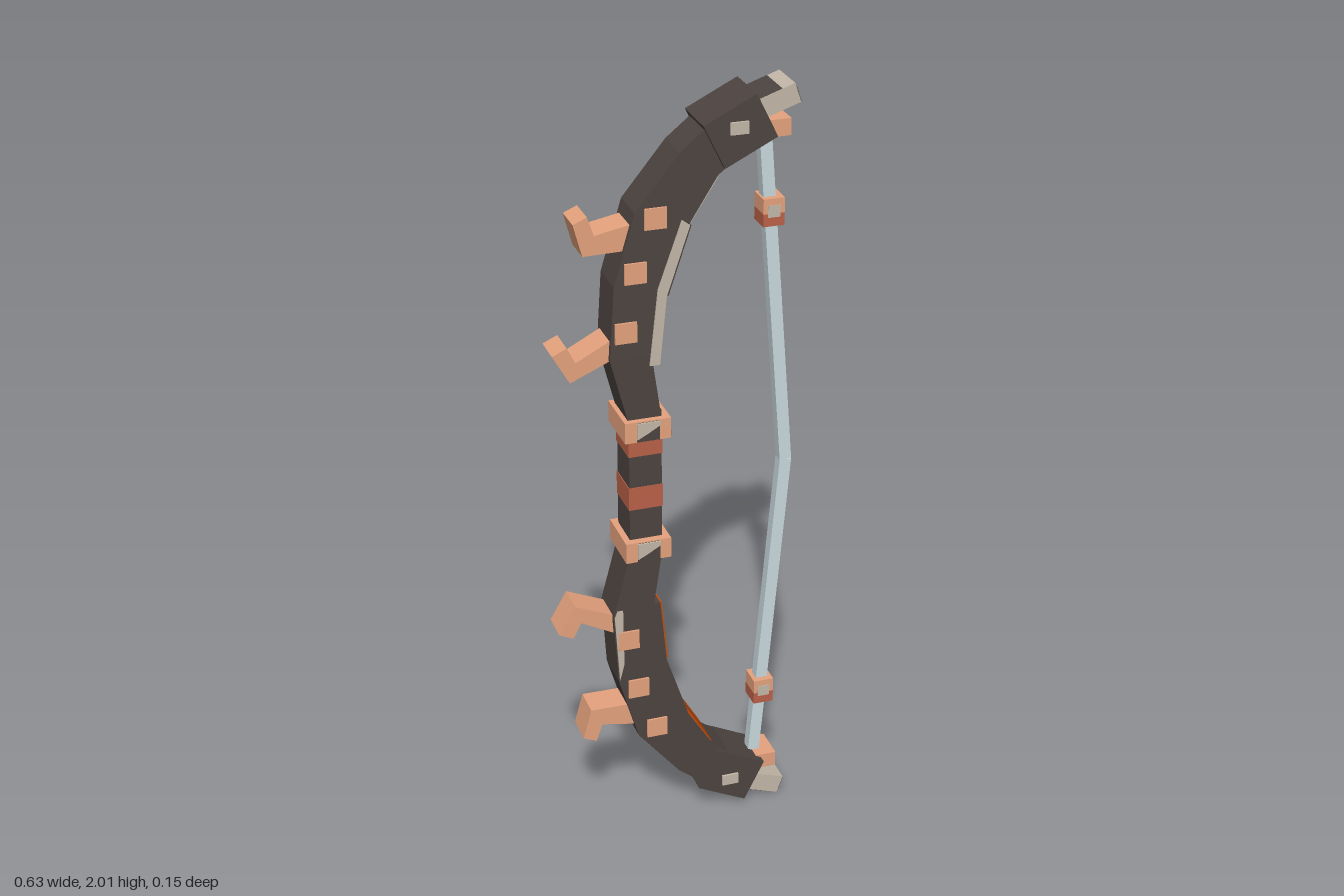
import * as THREE from 'three';

const mat = (name, color) => {
  const m = new THREE.MeshStandardMaterial({ color });
  m.name = name;
  return m;
};

export function createModel() {
  const root = new THREE.Group();
  root.name = 'bow';
  const dark = mat('darkWood', 0x4d4440);
  const copper = mat('copper', 0xe5a27d);
  const bone = mat('paleBone', 0xc3b7a7);
  const rust = mat('rust', 0xba6148);
  const orange = mat('orange', 0xc44c08);
  const cord = mat('cord', 0xc9d9de);

  const add = (parent, name, geo, material) => {
    const mesh = new THREE.Mesh(geo, material);
    mesh.name = name;
    parent.add(mesh);
    return mesh;
  };
  const box = (parent, name, material, x, y, z, w, h, d, angle = 0) => {
    const mesh = add(parent, name, new THREE.BoxGeometry(w, h, d), material);
    mesh.position.set(x, y, z);
    mesh.rotation.z = angle;
    return mesh;
  };
  // Flat-sided prism from an outline in the xy plane
  const prism = (parent, name, material, pts, z0, z1) => {
    const shape = new THREE.Shape(pts.map(([x, y]) => new THREE.Vector2(x, y)));
    const geo = new THREE.ExtrudeGeometry(shape, { depth: z1 - z0, bevelEnabled: false });
    geo.translate(0, 0, z0);
    return add(parent, name, geo, material);
  };
  // Thin plate lying along the line from a to b
  const plate = (parent, name, material, a, b, z0, z1) => {
    const dx = b[0] - a[0], dy = b[1] - a[1];
    return box(parent, name, material, (a[0] + b[0]) / 2, (a[1] + b[1]) / 2, (z0 + z1) / 2,
      Math.hypot(dx, dy), 0.008, z1 - z0, Math.atan2(dy, dx));
  };

  // Grip with wrapped stripes
  box(root, 'grip', dark, -0.086, 1, 0, 0.084, 0.42, 0.098);
  box(root, 'upperGripWrap', rust, -0.086, 1.113, 0, 0.088, 0.042, 0.102);
  box(root, 'lowerGripWrap', rust, -0.086, 0.975, 0, 0.088, 0.062, 0.102);

  for (const side of [1, -1]) {
    const limb = new THREE.Group();
    limb.name = side > 0 ? 'upperLimb' : 'lowerLimb';
    root.add(limb);
    const Y = (y) => 1 + side * (y - 1);
    const flip = (pts) => pts.map(([x, y]) => [x, Y(y)]);

    // Curved limb and its inner strip
    prism(limb, 'limbBody', dark, flip([
      [-0.128, 1.18], [-0.175, 1.36], [-0.163, 1.55], [-0.11, 1.73], [0, 1.865], [0.08, 1.93],
      [0.16, 1.85], [0.095, 1.8], [0.02, 1.68], [-0.04, 1.52], [-0.07, 1.36], [-0.044, 1.18],
    ]), -0.053, 0.053);
    const stripZ = side > 0 ? 0.057 : 0.0535;
    prism(limb, 'innerStrip', side > 0 ? bone : dark, flip([
      [-0.076, 1.335], [-0.05, 1.335], [-0.033, 1.51], [0.025, 1.685], [0.005, 1.7], [-0.055, 1.53],
    ]), -stripZ, stripZ);

    // Tip block and its studs
    box(limb, 'tipBlock', dark, 0.145, Y(1.905), 0, 0.145, 0.122, 0.134, side * 0.46);
    box(limb, 'tipBlockStud', bone, 0.14, Y(1.915), 0, 0.045, 0.03, 0.147);

    // Nock with dark cap on its outer face and end
    const nock = new THREE.Group();
    nock.name = 'nock';
    nock.position.set(0.241, Y(1.962), 0);
    nock.rotation.z = side * 0.33;
    limb.add(nock);
    box(nock, 'nockBody', bone, 0, 0, 0, 0.104, 0.05, 0.104);
    box(nock, 'nockCap', dark, -0.016, side * 0.024, 0, 0.07, 0.004, 0.102);
    box(nock, 'nockEnd', dark, 0.0515, side * -0.004, 0, 0.004, 0.038, 0.102);
    box(limb, 'cordHolder', copper, 0.25, Y(1.895), 0, 0.056, 0.042, 0.09);

    // Square studs through the limb
    for (const [x, y] of [[-0.06, 1.712], [-0.11, 1.58], [-0.135, 1.43]])
      box(limb, 'limbStud', copper, x, Y(y), 0, 0.055, 0.053, 0.117);

    // Hooked spikes
    prism(limb, 'outerSpike', copper, flip([
      [-0.11, 1.635], [-0.235, 1.633], [-0.257, 1.715], [-0.222, 1.73], [-0.206, 1.682], [-0.11, 1.7],
    ]), -0.04, 0.042);
    prism(limb, 'innerSpike', copper, flip([
      [-0.14, 1.37], [-0.272, 1.312], [-0.315, 1.388], [-0.278, 1.405], [-0.257, 1.363], [-0.14, 1.425],
    ]), -0.04, 0.042);

    // Grip band with a rust line and two-tone plates on front and back
    const bandY = Y(1.168);
    box(limb, 'gripBand', copper, -0.085, bandY, 0, 0.118, 0.055, 0.138);
    box(limb, 'bandLine', rust, -0.026, bandY - 0.014, 0, 0.003, 0.014, 0.136);
    box(limb, 'bandPlate', dark, -0.085, bandY, 0, 0.058, 0.05, 0.147);
    for (const z of [-0.0765, 0.0725])
      prism(limb, 'bandPlatePatch', bone, [
        [-0.115, bandY - 0.018], [-0.088, bandY - 0.004], [-0.055, bandY + 0.015],
        [-0.055, bandY + 0.026], [-0.115, bandY + 0.026],
      ], z, z + 0.004);

    // Bead on the cord
    box(limb, 'cordBead', copper, 0.245, Y(1.68) + 0.016, 0, 0.054, 0.038, 0.062);
    box(limb, 'cordBeadBase', rust, 0.245, Y(1.68) - 0.019, 0, 0.054, 0.032, 0.062);
    box(limb, 'cordBeadPatch', bone, 0.245, Y(1.68) + 0.003, 0.031, 0.032, 0.03, 0.004);

    // Painted inlays
    if (side > 0) {
      plate(limb, 'copperInlay', copper, [-0.049, 1.338], [-0.032, 1.51], -0.055, -0.004);
      plate(limb, 'darkInlay', dark, [-0.032, 1.512], [0.025, 1.685], -0.055, 0.055);
      plate(limb, 'boneInlay', bone, [0.025, 1.69], [0.093, 1.797], -0.05, 0.05);
    } else {
      plate(limb, 'upperOrangeInlay', orange, [-0.05, 0.665], [-0.033, 0.495], -0.052, 0.052);
      plate(limb, 'lowerOrangeInlay', orange, [0.012, 0.336], [0.089, 0.207], -0.052, 0.052);
      prism(limb, 'outerBoneStrip', bone,
        [[-0.172, 0.64], [-0.165, 0.66], [-0.15, 0.66], [-0.148, 0.5], [-0.16, 0.452]], -0.056, 0.056);
    }

    // Half of the square cord, bent at the middle
    const a = [0.297, 1], b = [0.224, Y(1.9)];
    const dx = b[0] - a[0], dy = b[1] - a[1];
    box(limb, 'cord', cord, (a[0] + b[0]) / 2, (a[1] + b[1]) / 2, 0,
      0.031, Math.hypot(dx, dy), 0.03, -Math.atan(dx / dy));
  }
  return root;
}
